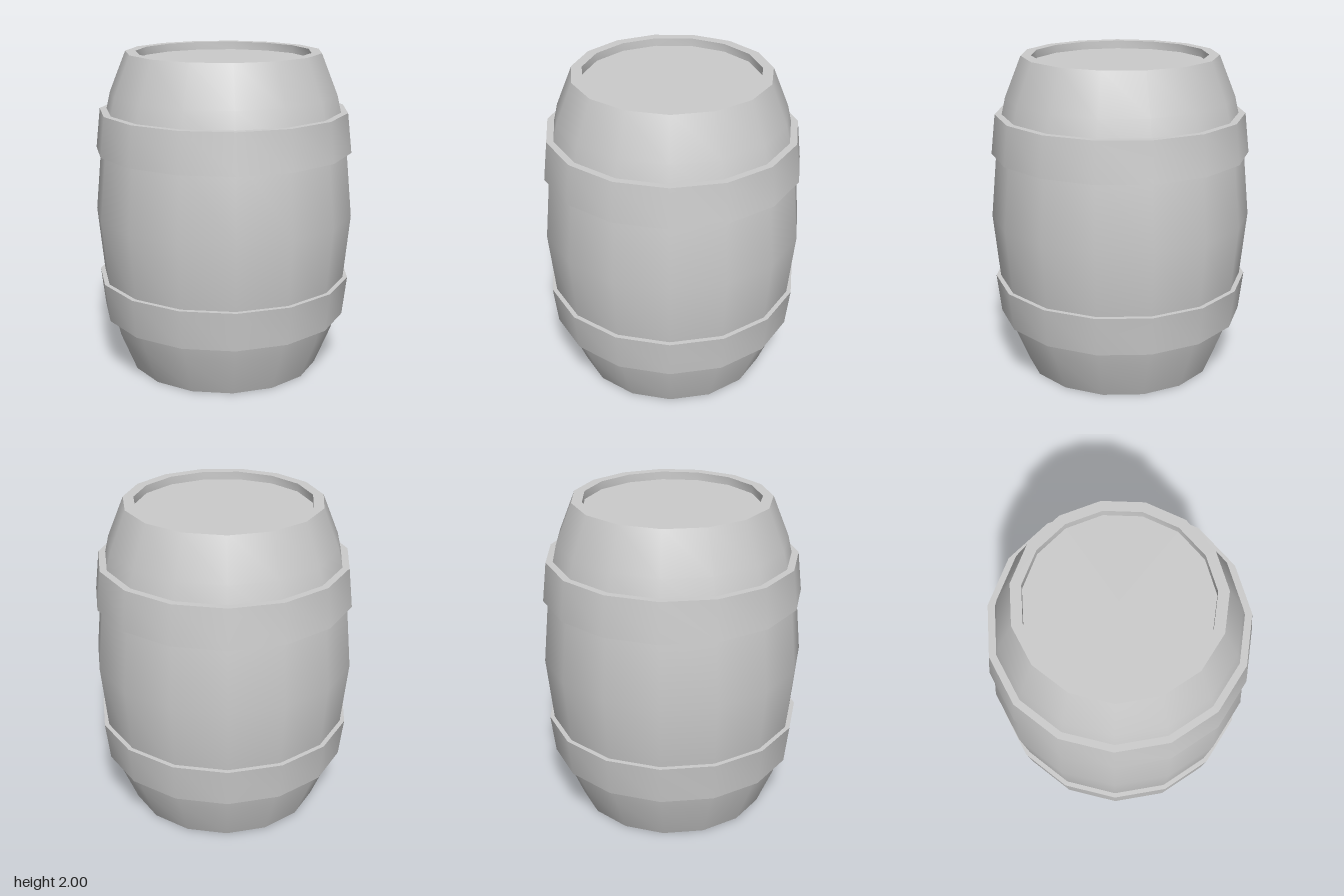
import * as THREE from 'three';
import { toCreasedNormals } from 'three/addons/utils/BufferGeometryUtils.js';

const SIDES = 15;

// Turned part with a corner on +x; smooth around, sharp at the rims
function turned(name, profile, material) {
  const points = profile.map(([r, y]) => new THREE.Vector2(r, y));
  const lathe = new THREE.LatheGeometry(points, SIDES, Math.PI / 2);
  const mesh = new THREE.Mesh(toCreasedNormals(lathe, 0.6), material);
  mesh.name = name;
  return mesh;
}

export function createModel() {
  const group = new THREE.Group();
  group.name = 'barrel';
  const material = new THREE.MeshStandardMaterial({ color: 0xcccccc });

  // Bulging body with a flat bottom and a recessed lid
  const body = turned('body', [
    [0, 0], [0.604, 0], [0.705, 0.25], [0.762, 0.5], [0.81, 1],
    [0.762, 1.5], [0.705, 1.75], [0.604, 2],
    [0.54, 2], [0.54, 1.95], [0, 1.95],
  ], material);

  // Hoops, each wider towards the middle of the barrel
  const upperHoop = turned('upperHoop', [
    [0.75, 1.4], [0.8, 1.4], [0.772, 1.645], [0.71, 1.645],
  ], material);
  const lowerHoop = turned('lowerHoop', [
    [0.71, 0.35], [0.772, 0.35], [0.8, 0.595], [0.75, 0.595],
  ], material);

  group.add(body, upperHoop, lowerHoop);
  // The odd side count reaches further on +x, so shift to centre it
  for (const part of group.children) part.position.x = -0.009;
  return group;
}
